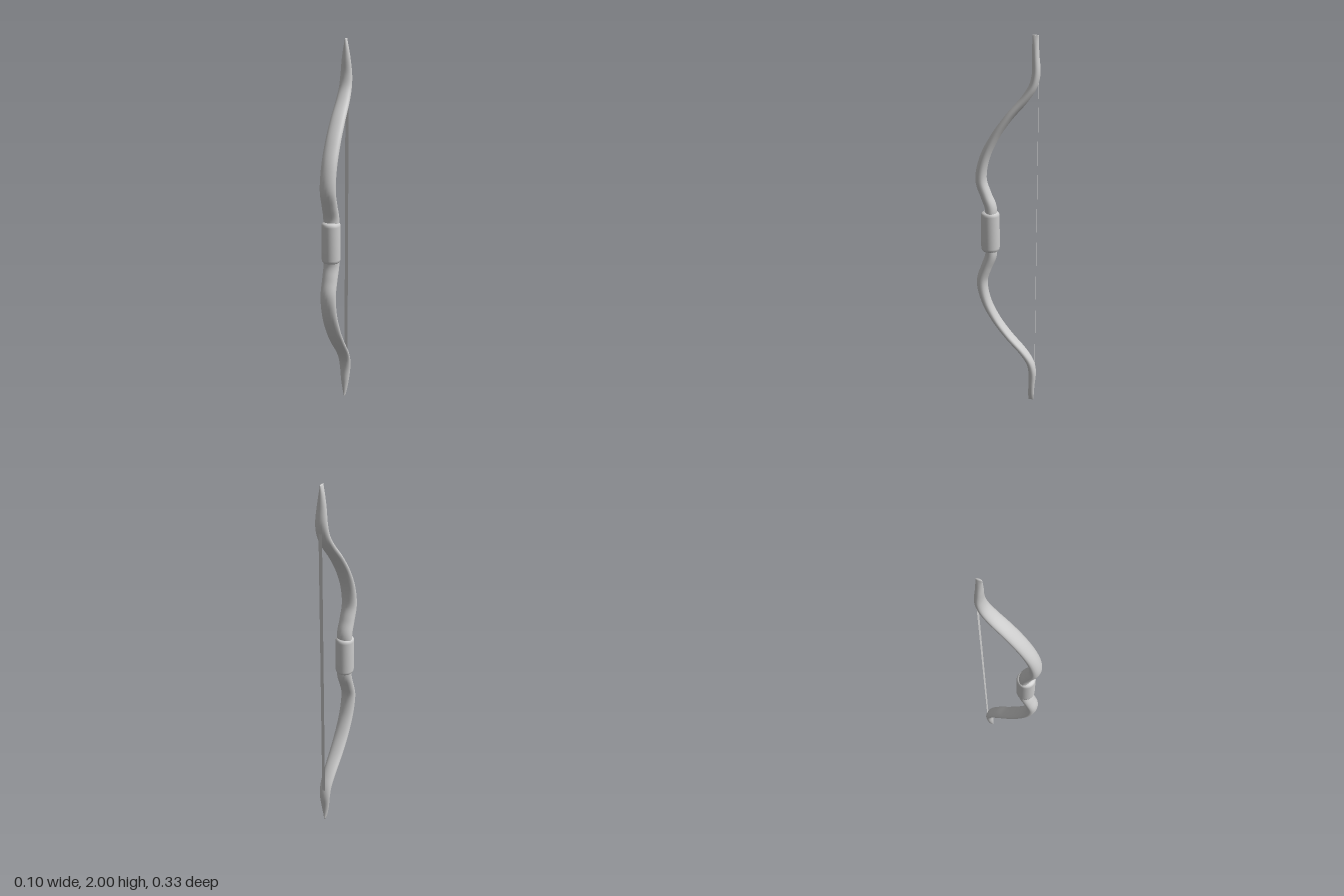
import * as THREE from 'three';

const material = new THREE.MeshStandardMaterial({ color: 0xcccccc });
const thin = new THREE.MeshStandardMaterial({ color: 0xcccccc, side: THREE.DoubleSide });

// Upper half of the bow: [y, z, half width, half thickness]
const upper = [
  [1.06, 0.088, 0.042, 0.031], [1.13, 0.087, 0.042, 0.031], [1.2, 0.112, 0.041, 0.029],
  [1.28, 0.136, 0.041, 0.029], [1.39, 0.118, 0.041, 0.026], [1.5, 0.066, 0.041, 0.022],
  [1.6, -0.004, 0.04, 0.02], [1.7, -0.089, 0.037, 0.02], [1.76, -0.126, 0.034, 0.021],
  [1.82, -0.14, 0.031, 0.021], [1.9, -0.137, 0.023, 0.018], [1.96, -0.135, 0.013, 0.016],
  [2.0, -0.135, 0.003, 0.015],
];

// Elliptical cross-sections swept along the spine, closed at both tips
function limbGeometry(rings = 160, sides = 20) {
  const lower = upper.map(([y, ...rest]) => [2 - y, ...rest]).reverse();
  const stations = [...lower, ...upper];
  const spine = new THREE.CatmullRomCurve3(stations.map(([y, z]) => new THREE.Vector3(0, y, z)));
  const size = new THREE.CatmullRomCurve3(
    stations.map(([, , w, t]) => new THREE.Vector3(w, t, 0)), false, 'catmullrom', 0.5);
  const pos = [], idx = [];
  for (let i = 0; i <= rings; i++) {
    const u = i / rings, p = spine.getPoint(u), s = size.getPoint(u), d = spine.getTangent(u);
    if (i === 0 || i === rings) d.set(0, 1, 0);
    for (let j = 0; j < sides; j++) {
      const a = (j / sides) * Math.PI * 2;
      const n = Math.sin(a) * s.y;
      pos.push(Math.cos(a) * s.x, p.y - d.z * n, p.z + d.y * n);
      if (i === rings) continue;
      const k = i * sides + j, m = i * sides + (j + 1) % sides;
      idx.push(k, k + sides, m, m, k + sides, m + sides);
    }
  }
  const last = rings * sides;
  for (let j = 1; j < sides - 1; j++) {
    idx.push(0, j, j + 1, last, last + j + 1, last + j);
  }
  const g = new THREE.BufferGeometry();
  g.setAttribute('position', new THREE.Float32BufferAttribute(pos, 3));
  g.setIndex(idx);
  g.computeVertexNormals();
  return g;
}

export function createModel() {
  const group = new THREE.Group();
  const add = (name, geometry, y, z, mat = material) => {
    const mesh = new THREE.Mesh(geometry, mat);
    mesh.name = name;
    mesh.position.set(0, y, z);
    group.add(mesh);
  };

  // Recurved limbs
  add('limbs', limbGeometry(), 0, 0);

  // Grip sleeve with rounded ends
  const half = [[0.049, 0], [0.049, 0.088], [0.047, 0.098], [0.042, 0.105], [0.03, 0.109]];
  const profile = [...half.slice(1).reverse().map(([r, y]) => [r, -y]), ...half];
  add('grip', new THREE.LatheGeometry(profile.map(([r, y]) => new THREE.Vector2(r, y)), 32), 1, 0.09);

  // Flat string behind the bow
  add('string', new THREE.PlaneGeometry(0.018, 1.56), 1, -0.153, thin);

  return group;
}
